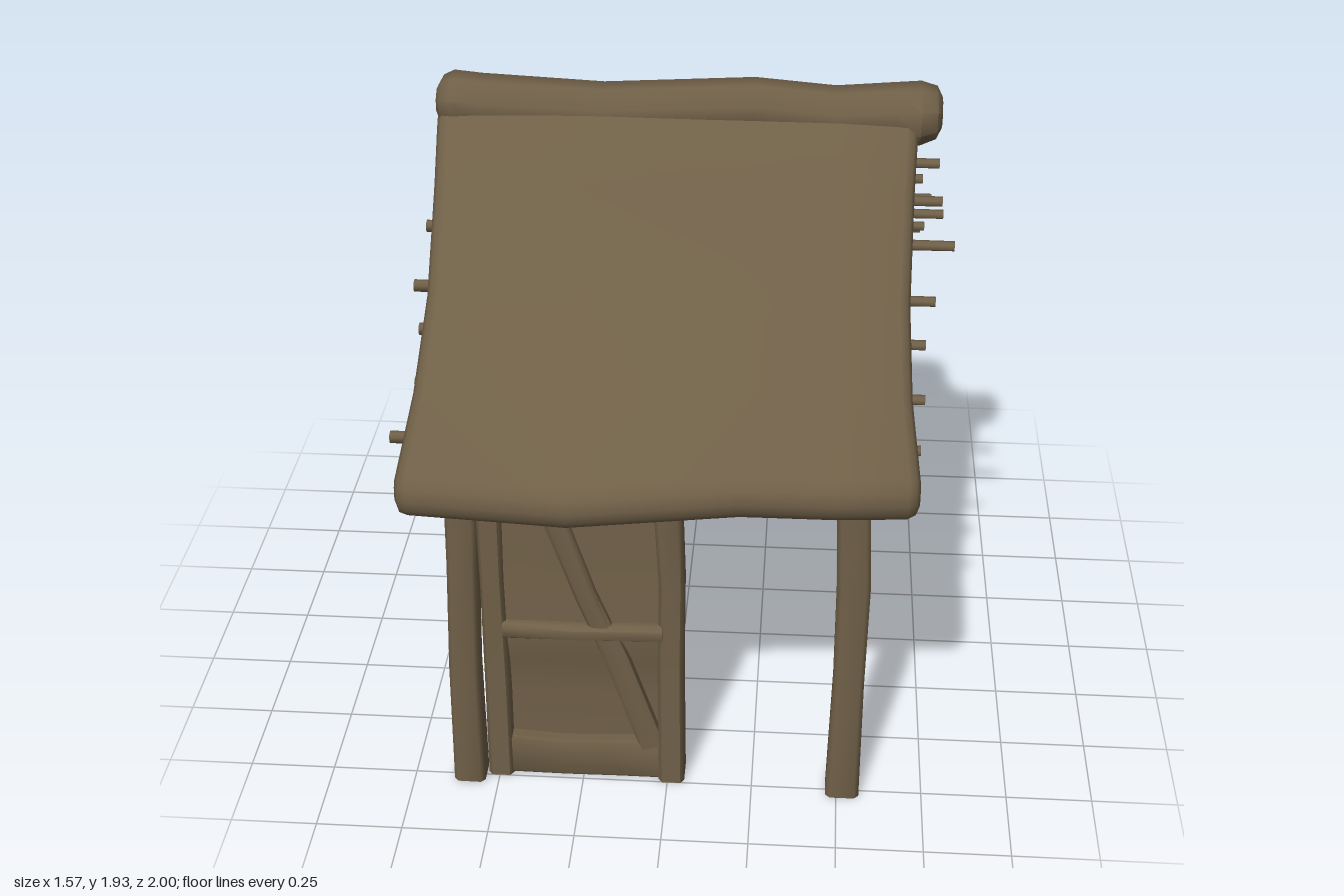
import * as THREE from 'three';
import { toCreasedNormals } from 'three/addons/utils/BufferGeometryUtils.js';

const wood = new THREE.MeshStandardMaterial({ color: 0x6f5f47 });
wood.name = 'weathered brown';

// Closed skin through a list of rings (arrays of Vector3), with strip caps at both ends
function loft(rings, crease) {
  const n = rings[0].length, idx = [], pos = rings.flat().flatMap((p) => [p.x, p.y, p.z]);
  for (let r = 0; r < rings.length - 1; r++) {
    for (let i = 0; i < n; i++) {
      const a = r * n + i, b = r * n + ((i + 1) % n);
      idx.push(a, b, b + n, a, b + n, a + n);
    }
  }
  const last = (rings.length - 1) * n;
  for (let i = 0; i < n / 2 - 1; i++) {
    const q = [i, i + 1, n - 2 - i, n - 1 - i], e = q.map((k) => k + last);
    idx.push(q[0], q[2], q[1], q[0], q[3], q[2], e[0], e[1], e[2], e[0], e[2], e[3]);
  }
  // Turn the skin outward if its signed volume is negative
  const v = (k) => new THREE.Vector3().fromArray(pos, idx[k] * 3);
  let volume = 0;
  for (let k = 0; k < idx.length; k += 3) volume += v(k).dot(v(k + 1).cross(v(k + 2)));
  if (volume < 0) idx.reverse();
  const g = new THREE.BufferGeometry();
  g.setAttribute('position', new THREE.Float32BufferAttribute(pos, 3));
  g.setIndex(idx);
  return toCreasedNormals(g, crease);
}

// Hewn timber through stations [x, y, z, half width, half height]
function timber(stations, chamfer = 0.6) {
  const c = chamfer;
  const section = [[1, -c], [1, c], [c, 1], [-c, 1], [-1, c], [-1, -c], [-c, -1], [c, -1]];
  const at = (s) => new THREE.Vector3(s[0], s[1], s[2]);
  const d = at(stations[stations.length - 1]).sub(at(stations[0])).normalize();
  const ref = Math.abs(d.y) > 0.8 ? new THREE.Vector3(0, 0, 1) : new THREE.Vector3(0, 1, 0);
  const a = ref.cross(d).normalize(), b = d.clone().cross(a);
  return loft(stations.map((s) => section.map(([u, w]) =>
    at(s).addScaledVector(a, u * s[3]).addScaledVector(b, w * s[4]))), 0.9);
}

// Thatch slab on one side: a thick curved sheet that wavers along x
function thatch(side) {
  const line = [[0, 1.815], [0.07, 1.758], [0.2, 1.645], [0.45, 1.41], [0.7, 1.23], [0.915, 1.08]];
  // x, depth scale, eave lift, half thickness
  const stations = [
    [-0.695, 0.93, -0.005, 0.045], [-0.682, 0.94, -0.005, 0.066], [-0.66, 0.945, 0, 0.075], [-0.24, 1.01, 0.02, 0.075],
    [0.2, 0.97, 0.05, 0.075], [0.45, 0.96, 0.045, 0.075], [0.63, 0.935, 0.04, 0.075],
    [0.65, 0.93, 0.04, 0.066], [0.66, 0.925, 0.04, 0.045],
  ];
  return loft(stations.map(([x, zs, lift, h]) => {
    const outer = [], inner = [];
    const put = (list, z, y, t) => {
      const bow = 0.985 + 0.05 * (2 * t - 1) ** 2 * (t > 0.5 ? 1 : 0.5);
      list.push(new THREE.Vector3(x * bow, y + lift * t * t, side * z * zs));
    };
    line.forEach(([z, y], i) => {
      const p = line[Math.max(i - 1, 0)], q = line[Math.min(i + 1, line.length - 1)];
      const len = Math.hypot(q[0] - p[0], q[1] - p[1]);
      const dz = (q[0] - p[0]) / len, dy = (q[1] - p[1]) / len;
      const nz = i ? -dy : 0, ny = i ? dz : 1, t = z / 0.915;
      put(outer, z + nz * h, y + ny * h, t);
      put(inner, z - nz * h, y - ny * h, t);
      if (i === line.length - 1) {
        // Rounded eave
        for (const angle of [0.5, 1, 1.4]) {
          const c = Math.cos(angle) * h, e = Math.sin(angle) * h;
          put(outer, z + nz * c + dz * e, y + ny * c + dy * e, t);
          put(inner, z - nz * c + dz * e, y - ny * c + dy * e, t);
        }
      }
    });
    return [...outer, ...inner.reverse()];
  }), 1.1);
}

function rope(points) {
  const curve = new THREE.CatmullRomCurve3(points.map((p) => new THREE.Vector3(...p)));
  return new THREE.TubeGeometry(curve, 20, 0.006, 6);
}

export function createModel() {
  const model = new THREE.Group();
  model.name = 'openShelter';
  const add = (name, geometry) => {
    const m = new THREE.Mesh(geometry, wood);
    m.name = name;
    model.add(m);
  };

  // Ridge roll, swelling to rounded ends
  add('ridgeRoll', timber([
    [-0.705, 1.845, 0, 0.045, 0.04], [-0.69, 1.842, 0, 0.075, 0.068], [-0.66, 1.84, 0, 0.089, 0.083],
    [-0.58, 1.834, 0, 0.084, 0.082], [-0.23, 1.822, 0, 0.08, 0.078],
    [0.2, 1.847, 0, 0.08, 0.078], [0.43, 1.828, 0, 0.08, 0.078], [0.6, 1.838, 0, 0.084, 0.082],
    [0.67, 1.842, 0, 0.09, 0.083], [0.715, 1.845, 0, 0.075, 0.068], [0.73, 1.845, 0, 0.045, 0.04],
  ], 0.42));

  // Roof poles: z, y, left end x, right end x, drop of the left end
  const poles = {
    1: [[0.12, 1.62, -0.7, 0.74, -0.015], [0.22, 1.53, -0.72, 0.775, -0.015], [0.33, 1.41, -0.745, 0.725, 0],
      [0.42, 1.32, -0.72, 0.7, 0], [0.55, 1.22, -0.715, 0.7, 0], [0.67, 1.13, -0.775, 0.69, 0.03]],
    [-1]: [[0.12, 1.63, -0.7, 0.74, 0], [0.23, 1.53, -0.745, 0.7, -0.015], [0.33, 1.42, -0.745, 0.735, 0],
      [0.41, 1.33, -0.7, 0.78, 0], [0.53, 1.23, -0.7, 0.73, 0], [0.68, 1.15, -0.785, 0.725, 0.03]],
  };

  for (const s of [1, -1]) {
    const end = s > 0 ? 'front' : 'back';
    // Depths of the posts at foot and head, and of the panel
    const zp = s > 0 ? 0.742 : 0.775, zh = zp - 0.03, zc = s > 0 ? 0.702 : 0.735;
    const part = (name, stations, chamfer) =>
      add(end + name, timber(stations.map(([x, y, z, a, b]) => [x, y, s * z, a, b]), chamfer));

    add(end + 'Thatch', thatch(s));
    poles[s].forEach(([z, y, x0, x1, drop], i) => part('RoofPole' + (i + 1), [
      [x0, y - drop, z - 0.01 - Math.max(drop, 0) * 0.7, 0.016, 0.016], [0, y + 0.005, z, 0.017, 0.017],
      [x1, y + 0.005, z, 0.013, 0.013],
    ], 0.45));

    // Free-standing post and corner post
    part('Post', [
      [0.517, 0, zp, 0.049, 0.048], [0.522, 0.4, zp - 0.008, 0.044, 0.045],
      [0.525, 0.72, zh - 0.002, 0.047, 0.046], [0.512, 1.04, zh, 0.046, 0.045],
    ], 0.72);
    part('CornerPost', [
      [-0.585, 0, zp, 0.046, 0.048], [-0.585, 0.4, zp - 0.008, 0.043, 0.045],
      [-0.578, 0.75, zh, 0.042, 0.046], [-0.57, 1.04, zh, 0.045, 0.045],
    ], 0.72);

    // Wall panel with its frame
    part('PanelOuterStile', [
      [-0.496, 0, zc, 0.037, 0.05], [-0.495, 0.35, zc, 0.036, 0.046],
      [-0.497, 0.7, zc, 0.033, 0.045], [-0.497, 1.05, zc, 0.036, 0.046],
    ], 0.72);
    part('PanelInnerStile', [
      [0.012, 0, zc, 0.038, 0.052], [0.01, 0.4, zc, 0.037, 0.048],
      [0.014, 0.7, zc, 0.036, 0.046], [0.006, 0.9, zc, 0.038, 0.046], [0.002, 1.05, zc, 0.038, 0.046],
    ], 0.72);
    part('PanelInfill', [
      [-0.245, 0.02, zc - 0.005, 0.24, 0.012], [-0.245, 0.28, zc - 0.015, 0.24, 0.012],
      [-0.245, 0.4, zc - 0.008, 0.24, 0.012], [-0.245, 0.52, zc + 0.02, 0.24, 0.012],
      [-0.245, 0.57, zc + 0.012, 0.24, 0.012], [-0.245, 1.05, zc, 0.24, 0.012],
    ], 0.98);
    part('PanelSill', [
      [-0.5, 0.072, zc, 0.038, 0.07], [-0.3, 0.064, zc, 0.038, 0.064],
      [-0.15, 0.068, zc, 0.038, 0.066], [0, 0.072, zc, 0.038, 0.07],
    ], 0.85);
    part('PanelHeader', [
      [-0.62, 1.05, zc + 0.01, 0.052, 0.045], [-0.3, 1.058, zc + 0.01, 0.052, 0.042],
      [0.05, 1.05, zc + 0.01, 0.052, 0.045],
    ]);
    part('PanelRail', [
      [-0.47, 0.53, zc + 0.026, 0.03, 0.026], [-0.25, 0.533, zc + 0.028, 0.034, 0.024],
      [-0.01, 0.538, zc + 0.026, 0.03, 0.026],
    ]);
    part('PanelBrace', [
      [-0.36, 1.05, zc + 0.022, 0.034, 0.024], [-0.23, 0.66, zc + 0.03, 0.03, 0.024],
      [-0.15, 0.45, zc + 0.024, 0.034, 0.024], [-0.045, 0.12, zc + 0.02, 0.036, 0.024],
    ]);

    // Rafters and curved knee braces
    for (const [label, x] of [['Left', 0.51], ['Right', -0.58]]) {
      part(label + 'Rafter', [
        [x, 1.685, -0.02, 0.036, 0.045], [x, 1.5, 0.185, 0.036, 0.036],
        [x, 1.285, 0.42, 0.036, 0.037], [x, 1.09, 0.72, 0.038, 0.042],
      ]);
      part(label + 'KneeBrace', [
        [x, 0.73, 0.715, 0.03, 0.02], [x, 0.81, 0.65, 0.03, 0.026],
        [x, 0.885, 0.59, 0.03, 0.026], [x, 1.03, 0.505, 0.032, 0.028],
      ]);
    }
  }

  // Outward-bowed tie beams and king posts
  for (const [label, x, out] of [['left', 0.51, 1], ['right', -0.58, -1]]) {
    add(label + 'TieBeam', timber([
      [x, 1.05, 0.775, 0.045, 0.047], [x, 1.055, 0.62, 0.045, 0.045], [x + out * 0.03, 1.042, 0.3, 0.042, 0.039],
      [x + out * 0.04, 1.037, 0, 0.042, 0.038], [x + out * 0.03, 1.042, -0.35, 0.042, 0.039],
      [x, 1.055, -0.65, 0.045, 0.042], [x, 1.05, -0.8, 0.045, 0.047],
    ]));
    add(label + 'KingPost', timber([
      [x + out * 0.03, 1.04, -0.01, 0.038, 0.045], [x + out * 0.015, 1.3, 0, 0.034, 0.038],
      [x, 1.67, 0.003, 0.032, 0.034],
    ]));
  }

  // Slack ropes
  add('looseRope', rope([[0.53, 1.03, 0.26], [0.53, 0.9, 0.14], [0.53, 0.84, -0.02],
    [0.53, 0.87, -0.2], [0.53, 0.94, -0.36], [0.53, 1.02, -0.49]]));
  add('longRope', rope([[0.55, 1.02, 0.2], [0.57, 0.92, 0.02], [0.58, 0.9, -0.2],
    [0.58, 0.93, -0.5], [0.575, 0.98, -0.72], [0.56, 1.0, -0.78]]));
  add('hangingRope', rope([[0.53, 1.03, 0.225], [0.53, 0.85, 0.22], [0.53, 0.73, 0.205], [0.53, 0.65, 0.185]]));
  add('frontRope', rope([[0.02, 1.04, 0.72], [0.12, 1.0, 0.71], [0.26, 0.983, 0.7], [0.4, 0.99, 0.71], [0.5, 1.02, 0.72]]));

  return model;
}
